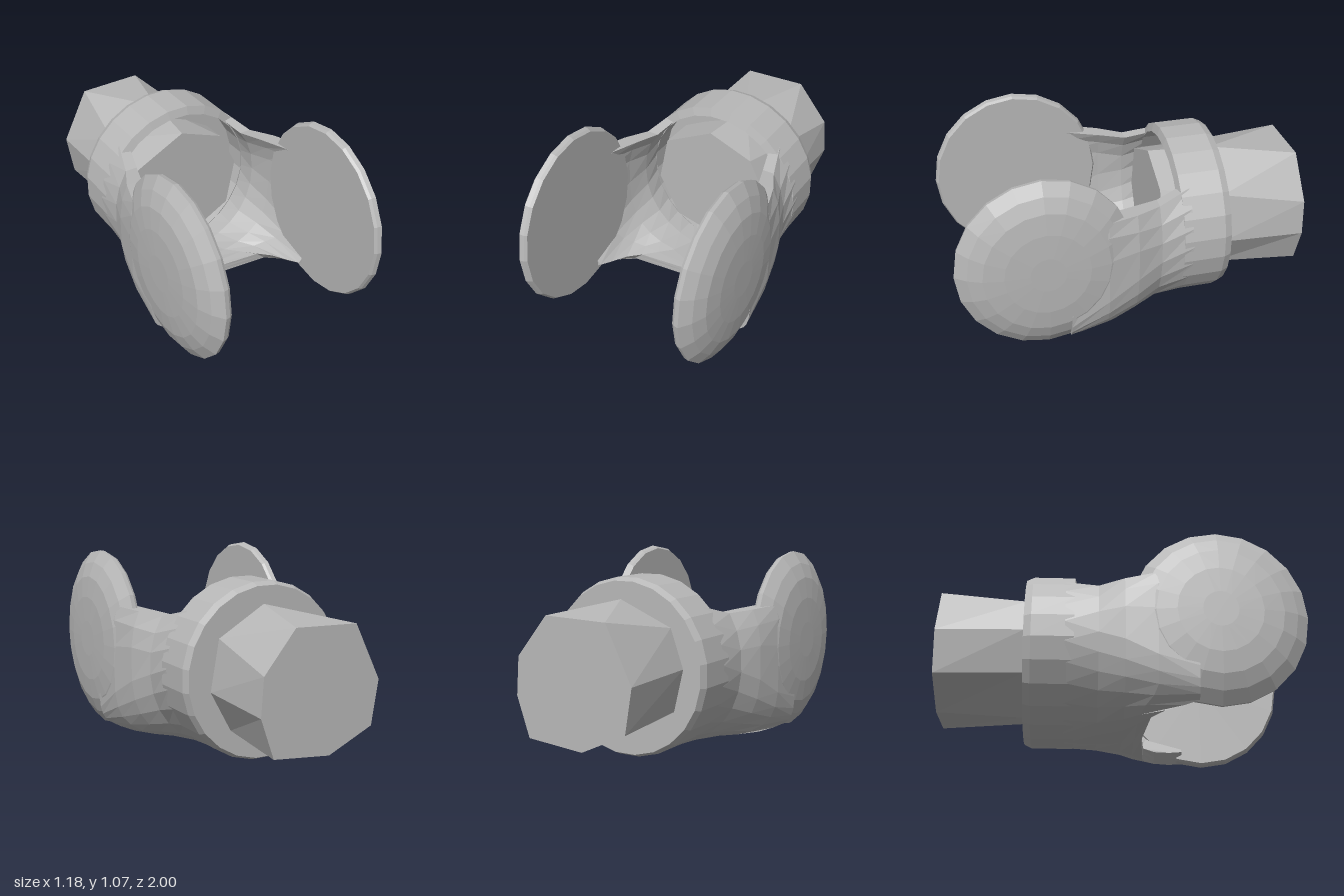
import * as THREE from 'three';

const steel = new THREE.MeshStandardMaterial({ color: 0xb8b8b8, flatShading: true });
steel.name = 'steel grey';

// Skin closed rings of [x, y, z] points, counter-clockwise about the direction of travel
function loft(name, rings) {
  const n = rings[0].length, index = [];
  for (let i = 0; i < rings.length - 1; i++) {
    for (let j = 0; j < n; j++) {
      const a = i * n + j, b = i * n + (j + 1) % n;
      index.push(a, b, a + n, b, b + n, a + n);
    }
  }
  const geometry = new THREE.BufferGeometry();
  geometry.setAttribute('position', new THREE.Float32BufferAttribute(rings.flat(2), 3));
  geometry.setIndex(index);
  const flat = geometry.toNonIndexed();
  flat.computeVertexNormals();
  const mesh = new THREE.Mesh(flat, steel);
  mesh.name = name;
  return mesh;
}

// Eight-sided shaft: twisted tail, straighter front end
function makeShaft() {
  const tail = [[0.14, 0.82], [-0.22, 0.81], [-0.37, 0.51], [-0.33, 0.27],
    [-0.07, 0.15], [0.26, 0.18], [0.335, 0.395], [0.32, 0.6]];
  const middle = [[0.02, 0.86], [-0.29, 0.73], [-0.365, 0.52], [-0.31, 0.29],
    [-0.03, 0.14], [0.22, 0.2], [0.34, 0.42], [0.29, 0.7]];
  const front = [[-0.02, 0.86], [-0.315, 0.71], [-0.37, 0.44], [-0.24, 0.205],
    [0.03, 0.14], [0.29, 0.28], [0.345, 0.55], [0.24, 0.76]];
  const ring = (points, z) => points.map(([x, y]) => [x, y, z]);
  const cap = z => tail.map(() => [-0.013, 0.49, z]);
  return loft('shaft', [cap(-1), ring(tail, -1), ring(middle, -0.52), ring(front, -0.17), cap(-0.17)]);
}

// Collar with a chamfered back and a recess in front
function makeCollar() {
  const sides = 24;
  const profile = [[0, -0.52], [0.47, -0.52], [0.488, -0.48], [0.488, -0.25],
    [0.44, -0.235], [0.44, -0.36], [0, -0.36]];
  return loft('collar', profile.map(([r, z]) => Array.from({ length: sides }, (_, j) => {
    const a = ((j + 0.5) / sides) * Math.PI * 2;
    return [r * Math.cos(a), 0.49 + r * Math.sin(a), z];
  })));
}

// U-shaped arc: a rounded square open at the top
function uArc({ w, h, n, top }, count) {
  const cy = 0.49, start = Math.asin(Math.pow((top - cy) / h, n / 2));
  const pow = v => Math.sign(v) * Math.pow(Math.abs(v), 2 / n);
  return Array.from({ length: count }, (_, j) => {
    const a = Math.PI - start + (j / (count - 1)) * (Math.PI + 2 * start);
    return [w * pow(Math.cos(a)), cy + h * pow(Math.sin(a))];
  });
}

// Saddle: thick U-shaped wall that widens from the collar to the ears
function makeSaddle() {
  const count = 21;
  const sections = [
    { z: -0.30, n: 2.0, top: 0.82, w: 0.486, h: 0.486, wi: 0.445, hi: 0.445, flare: 0 },
    { z: -0.12, n: 2.15, top: 0.77, w: 0.492, h: 0.488, wi: 0.44, hi: 0.43, flare: 0 },
    { z: 0.02, n: 2.8, top: 0.78, w: 0.538, h: 0.478, wi: 0.465, hi: 0.415, flare: 0 },
    { z: 0.09, n: 4.0, top: 0.79, w: 0.567, h: 0.468, wi: 0.487, hi: 0.41, flare: 0.1 },
    { z: 0.13, n: 7.0, top: 0.79, w: 0.572, h: 0.46, wi: 0.477, hi: 0.41, flare: 0.27 },
  ];
  const rings = sections.map(s => {
    const outer = uArc(s, count);
    const inner = uArc({ ...s, w: s.wi, h: s.hi }, count);
    // the front edge runs forward into the ears at both sides
    const place = (p, j) =>
      [p[0], p[1], s.z + s.flare * Math.pow(Math.min(1, Math.abs(outer[j][0]) / 0.5), 6)];
    return [...outer.map(place), ...inner.map(place).reverse()];
  });
  // close the front edge along its middle line
  const last = rings[rings.length - 1];
  rings.push(last.map((p, j) => {
    const q = last[2 * count - 1 - j];
    return p.map((v, k) => (v + q[k]) / 2);
  }));
  return loft('saddle', rings);
}

// Ear: flat inside, domed outside
function makeEar(name, side) {
  const sides = 20;
  const steps = [[0.45, 0], [0.45, 0.97], [0.465, 0.99], [0.49, 1], [0.535, 0.87],
    [0.567, 0.71], [0.583, 0.48], [0.588, 0.2], [0.588, 0]];
  return loft(name, steps.map(([x, k]) => Array.from({ length: sides }, (_, j) => {
    const a = side * (j / sides) * Math.PI * 2;
    return [side * x, 0.555 + 0.515 * k * Math.cos(a), 0.52 + 0.48 * k * Math.sin(a)];
  })));
}

export function createModel() {
  const group = new THREE.Group();
  group.name = 'forkCoupling';
  group.add(makeShaft(), makeCollar(), makeSaddle());
  group.add(makeEar('leftEar', 1), makeEar('rightEar', -1));
  return group;
}
